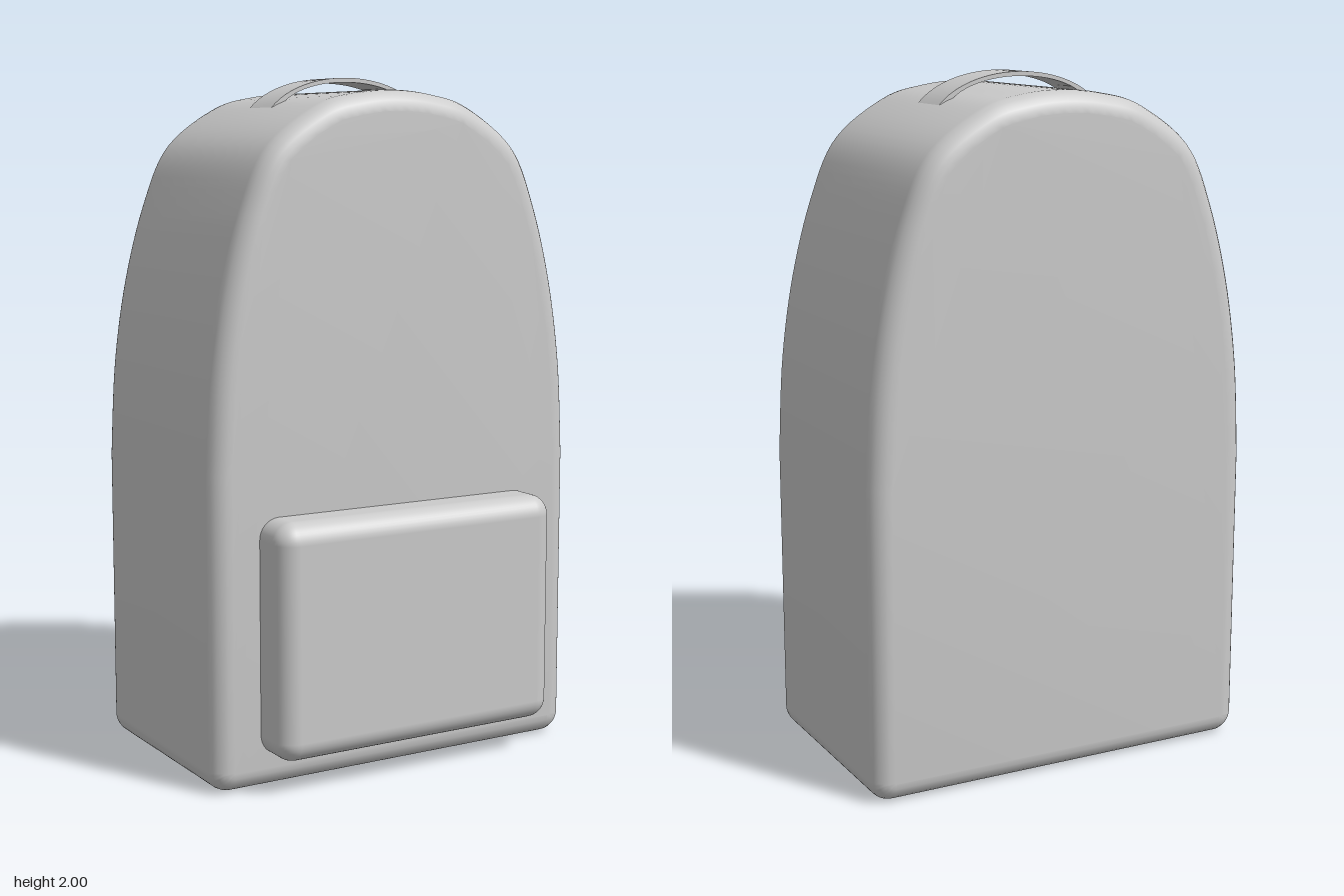
import * as THREE from 'three';
import { toCreasedNormals } from 'three/addons/utils/BufferGeometryUtils.js';
import { RoundedBoxGeometry } from 'three/addons/geometries/RoundedBoxGeometry.js';

const material = new THREE.MeshStandardMaterial({ color: 0xcccccc });

function addPart(group, name, geometry) {
  const mesh = new THREE.Mesh(geometry, material);
  mesh.name = name;
  group.add(mesh);
  return mesh;
}

// Domed outline with small rounded corners at the bottom
function bodyShape() {
  const half = 0.605, r = 0.065;
  const side = [[half, 0.88], [0.589, 1.15], [0.55, 1.4], [0.486, 1.63], [0.405, 1.8], [0.25, 1.913], [0.125, 1.949]];
  const mirrored = side.map(([x, y]) => [-x, y]).reverse();
  const dome = [...side, [0, 1.96], ...mirrored].map(([x, y]) => new THREE.Vector2(x, y));
  const shape = new THREE.Shape();
  shape.moveTo(-half + r, 0);
  shape.lineTo(half - r, 0);
  shape.absarc(half - r, r, r, -Math.PI / 2, 0);
  shape.lineTo(half, 0.88);
  shape.splineThru(dome.slice(1));
  shape.lineTo(-half, r);
  shape.absarc(-half + r, r, r, Math.PI, Math.PI * 1.5);
  return shape;
}

// Thin crescent band that arches over the top of the body
function handleShape() {
  const shape = new THREE.Shape();
  shape.moveTo(0.253, 1.912);
  shape.bezierCurveTo(0.2, 1.97, 0.1, 2, 0, 2);
  shape.bezierCurveTo(-0.1, 2, -0.2, 1.97, -0.253, 1.912);
  shape.lineTo(-0.222, 1.918);
  shape.bezierCurveTo(-0.18, 1.965, -0.09, 1.987, 0, 1.987);
  shape.bezierCurveTo(0.09, 1.987, 0.18, 1.965, 0.222, 1.918);
  shape.closePath();
  return shape;
}

export function createModel() {
  const group = new THREE.Group();
  group.name = 'backpack';

  // Main bag with rounded front and back edges
  const bevel = 0.06;
  const body = new THREE.ExtrudeGeometry(bodyShape(), {
    depth: 0.73 - 2 * bevel,
    bevelThickness: bevel,
    bevelSize: bevel,
    bevelOffset: -bevel,
    bevelSegments: 6,
    curveSegments: 6,
  });
  body.translate(0, 0, -0.43 + bevel);
  addPart(group, 'body', toCreasedNormals(body, 0.7));

  // Front pocket, sunk into the body
  const pocket = addPart(group, 'frontPocket', new RoundedBoxGeometry(0.92, 0.68, 0.26, 5, 0.06));
  pocket.position.set(0, 0.44, 0.3);

  // Carrying handle
  const handle = new THREE.ExtrudeGeometry(handleShape(), { depth: 0.135, bevelEnabled: false, curveSegments: 16 });
  handle.translate(0, 0, -0.135);
  addPart(group, 'topHandle', toCreasedNormals(handle, 0.7));

  return group;
}
